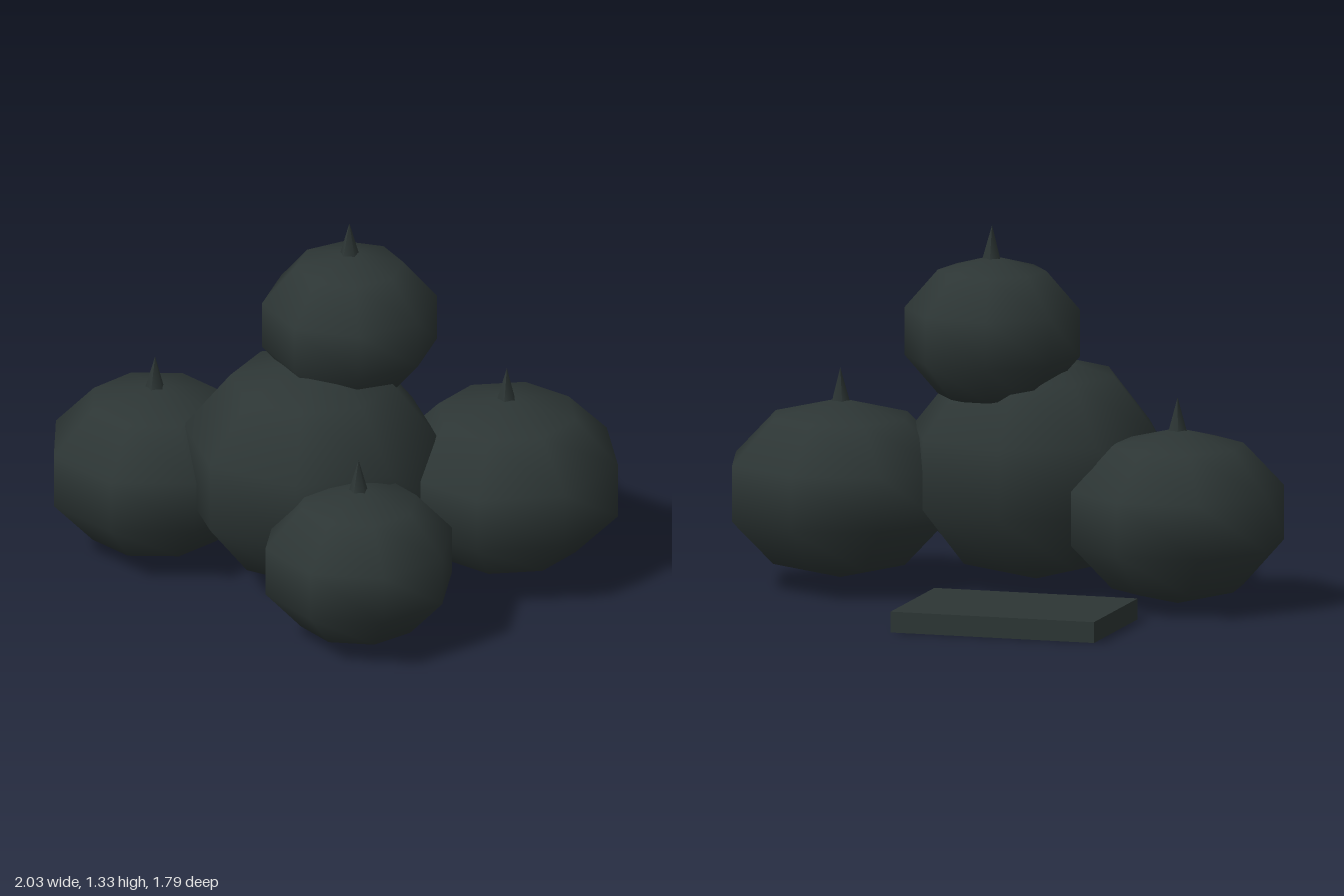
import * as THREE from 'three';

export function createModel() {
  const model = new THREE.Group();
  const charcoal = new THREE.MeshStandardMaterial({ color: 0x2d3635 });
  charcoal.name = 'charcoal';

  const add = (parent, name, geometry, x, y, z, turn = 0) => {
    const mesh = new THREE.Mesh(geometry, charcoal);
    mesh.name = name;
    mesh.position.set(x, y, z);
    mesh.rotation.y = -THREE.MathUtils.degToRad(turn);
    parent.add(mesh);
    return mesh;
  };

  // Squashed eight-sided gourds, each with a pointed stem
  const gourd = (name, x, y, z, radius, halfHeight, turn) => {
    const group = new THREE.Group();
    group.name = name;
    group.position.set(x, y, z);
    const body = new THREE.SphereGeometry(1, 8, 5).scale(radius, halfHeight, radius);
    add(group, name + 'Body', body, 0, 0, 0, turn);
    const stem = new THREE.ConeGeometry(0.04, 0.14, 5);
    add(group, name + 'Stem', stem, 0, halfHeight + 0.04, 0, turn);
    model.add(group);
  };
  gourd('topGourd', 0.038, 0.945, -0.03, 0.328, 0.275, 32);
  gourd('rightGourd', -0.66, 0.325, -0.06, 0.385 / 0.951, 0.315, 17);
  gourd('leftGourd', 0.6, 0.358, -0.035, 0.43, 0.322, 8);
  gourd('frontGourd', 0.145, 0.297, 0.575, 0.36, 0.287, 23);

  // Large central gourd, flattened at the crown
  const profile = [[0, 0.04], [0.29, 0.115], [0.455, 0.32], [0.455, 0.575], [0.29, 0.78], [0.1, 0.83], [0, 0.82]]
    .map(([r, y]) => new THREE.Vector2(r, y));
  add(model, 'centralGourd', new THREE.LatheGeometry(profile, 8), -0.08, 0, 0.12);

  // Flat slab lying behind the pile
  add(model, 'slab', new THREE.BoxGeometry(0.755, 0.075, 0.525), -0.232, 0.0375, -0.637);

  return model;
}
